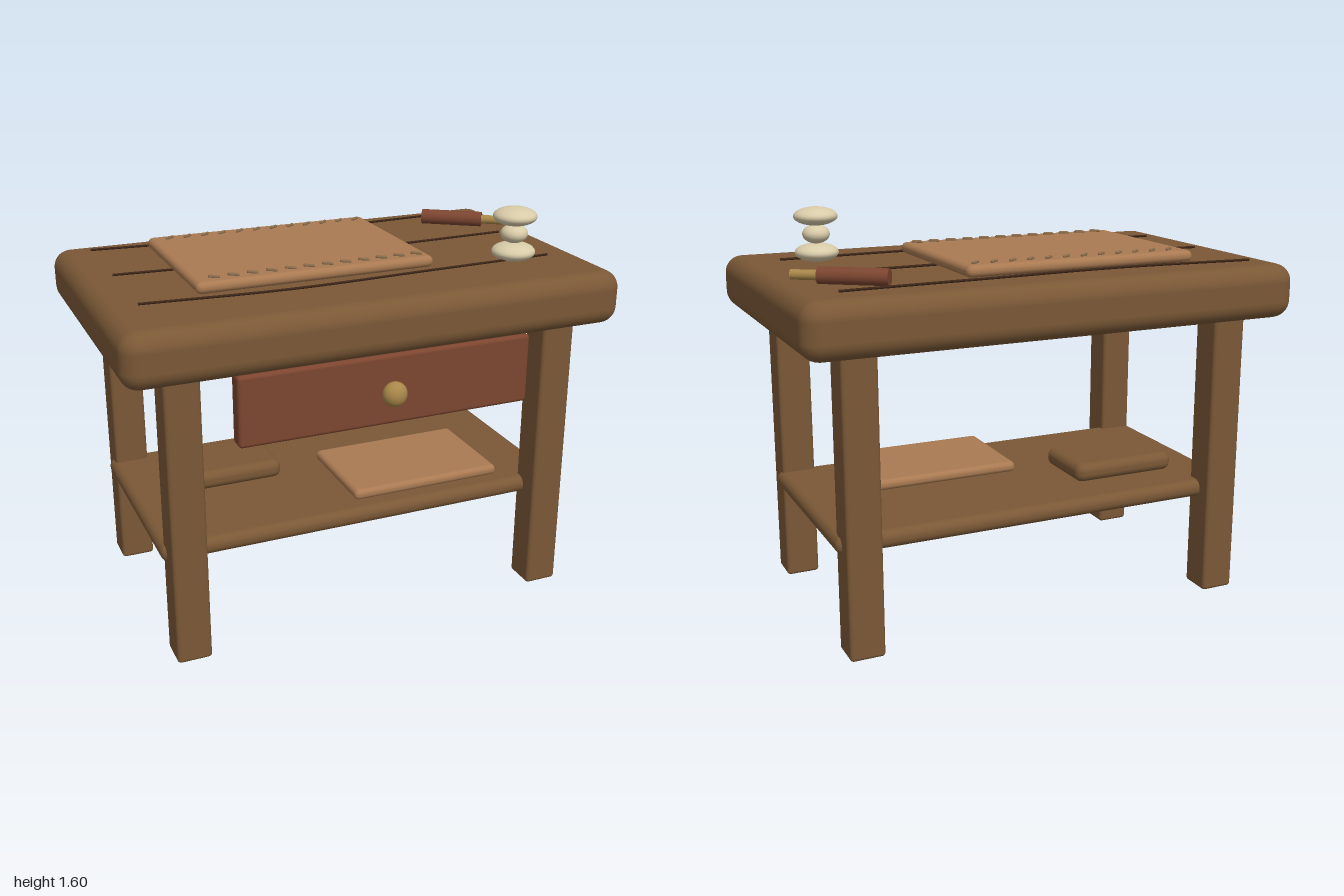
import * as THREE from 'three';
import { RoundedBoxGeometry } from 'three/addons/geometries/RoundedBoxGeometry.js';

const mat = (color) => new THREE.MeshStandardMaterial({ color });
const wood = mat(0x7a5836);
const leather = mat(0xa97a52);
const redLeather = mat(0x7c4530);
const brass = mat(0xa8874a);
const stone = mat(0xd8cba8);
const dark = mat(0x3e2618);
const thread = mat(0x8a6c4a);

export function createModel() {
  const model = new THREE.Group();

  const add = (name, geometry, material, x = 0, y = 0, z = 0) => {
    const mesh = new THREE.Mesh(geometry, material);
    mesh.name = name;
    mesh.position.set(x, y, z);
    model.add(mesh);
    return mesh;
  };

  // Rounded block given by its min and max corners
  const block = (name, [x0, y0, z0], [x1, y1, z1], radius, material) =>
    add(name, new RoundedBoxGeometry(x1 - x0, y1 - y0, z1 - z0, 4, radius), material,
      (x0 + x1) / 2, (y0 + y1) / 2, (z0 + z1) / 2);

  // Flattened ball
  const ellipsoid = (name, rx, ry, rz, material, x, y, z) => {
    const mesh = add(name, new THREE.SphereGeometry(1, 32, 20), material, x, y, z);
    mesh.scale.set(rx, ry, rz);
    return mesh;
  };

  // Bench: top, legs and lower shelf
  block('tableTop', [-1, 1.165, -0.645], [1, 1.38, 0.58], 0.07, wood);
  for (const side of [-1, 1]) {
    const x0 = side * 0.773 - 0.069, x1 = side * 0.773 + 0.069;
    block('frontLeg', [x0, 0, 0.353], [x1, 1.22, 0.49], 0.015, wood);
    block('backLeg', [x0, 0, -0.53], [x1, 1.22, -0.393], 0.015, wood);
  }
  block('shelf', [-0.86, 0.398, -0.47], [0.86, 0.47, 0.41], 0.034, wood);

  // Drawer front with its knob
  block('drawerFront', [-0.593, 0.897, 0.49], [0.593, 1.175, 0.565], 0.015, redLeather);
  ellipsoid('drawerKnob', 0.048, 0.049, 0.04, brass, 0, 1.035, 0.605);

  // Items on the shelf
  block('shelfBundle', [-0.68, 0.467, -0.29], [-0.228, 0.545, 0.01], 0.034, wood);
  block('shelfSheet', [-0.045, 0.482, -0.075], [0.6, 0.526, 0.36], 0.02, leather);

  // Grain lines along the top
  for (const [zLeft, zMid, zRight] of [[-0.51, -0.463, -0.508], [-0.122, -0.09, -0.122], [0.268, 0.31, 0.27]]) {
    const curve = new THREE.CatmullRomCurve3([
      new THREE.Vector3(-0.86, 1.39, zLeft),
      new THREE.Vector3(-0.3, 1.39, zMid),
      new THREE.Vector3(0.3, 1.39, (zMid + zRight) / 2),
      new THREE.Vector3(0.835, 1.39, zRight),
    ]);
    add('grainLine', new THREE.TubeGeometry(curve, 40, 0.005, 6), dark);
  }

  // Leather sheet with a row of slanted stitches at the front and back
  block('leatherSheet', [-0.635, 1.388, -0.456], [0.33, 1.434, 0.255], 0.022, leather);
  const stitch = new THREE.CapsuleGeometry(0.007, 0.032, 4, 8).rotateZ(Math.PI / 2);
  for (let i = 0; i < 12; i++) {
    for (const side of [-1, 1]) {
      const mesh = add('stitch', stitch, thread, -0.553 + i * 0.0755, 1.437, -0.1 + side * 0.3);
      mesh.rotation.y = -side * 0.65;
    }
  }

  // Stack of three polished stones
  ellipsoid('bottomStone', 0.088, 0.037, 0.088, stone, 0.688, 1.414, 0.248);
  ellipsoid('middleStone', 0.055, 0.038, 0.055, stone, 0.688, 1.487, 0.248);
  ellipsoid('topStone', 0.088, 0.037, 0.088, stone, 0.688, 1.558, 0.248);

  // Hand tool lying on the top: wrapped handle and brass tip
  const tool = new THREE.Group();
  tool.name = 'handTool';
  tool.position.set(0.727, 1.41, -0.35);
  tool.rotation.y = -0.61;
  const rod = (name, radius, length, x, material) => {
    const mesh = new THREE.Mesh(new THREE.CylinderGeometry(radius, radius, length, 20).rotateZ(Math.PI / 2), material);
    mesh.name = name;
    mesh.position.x = x;
    tool.add(mesh);
  };
  rod('toolHandle', 0.032, 0.264, 0, redLeather);
  rod('toolTip', 0.019, 0.13, 0.17, brass);
  model.add(tool);

  return model;
}
